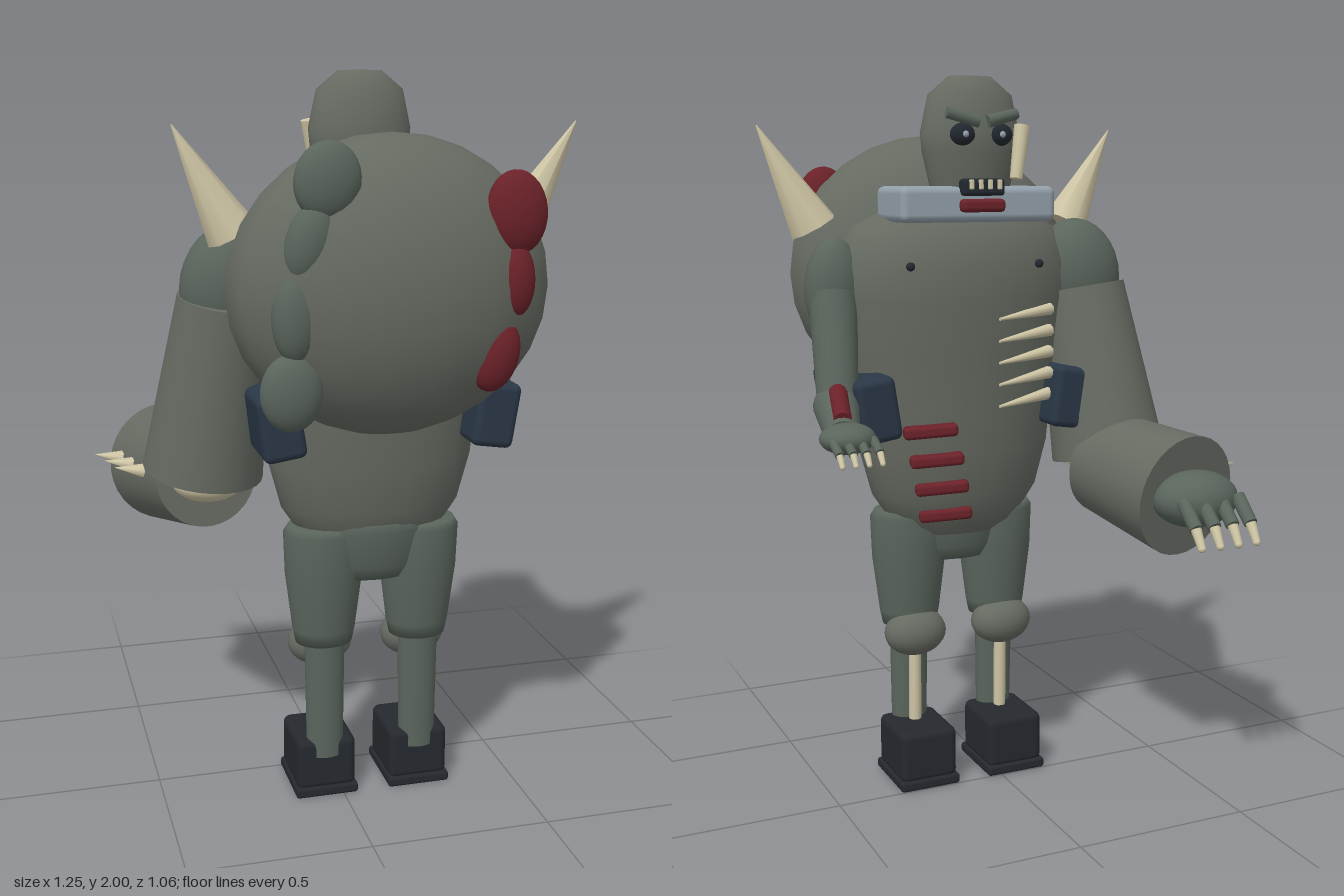
import * as THREE from 'three';
import { RoundedBoxGeometry } from 'three/addons/geometries/RoundedBoxGeometry.js';

const CX = 0.0875; // mid-line of the body
const V = (p) => new THREE.Vector3(...p);
const paint = (color) => new THREE.MeshStandardMaterial({ color });
const skin = paint(0x666b62), darkSkin = paint(0x5a655c), bone = paint(0xcfc6a5), flesh = paint(0x6b2229);
const cloth = paint(0x2a3746), boot = paint(0x25292e), steel = paint(0x93a0aa), dark = paint(0x222830);

export function createModel() {
  const root = new THREE.Group();

  function add(name, geometry, material, pos = [0, 0, 0], rot = [0, 0, 0], scale = [1, 1, 1]) {
    const mesh = new THREE.Mesh(geometry, material);
    mesh.name = name;
    mesh.position.set(...pos);
    mesh.rotation.set(...rot);
    mesh.scale.set(...scale);
    root.add(mesh);
    return mesh;
  }
  const ball = (name, material, pos, radii, rot) =>
    add(name, new THREE.SphereGeometry(1, 20, 14), material, pos, rot, radii);
  const box = (name, material, pos, size, r = 0.015, rot) =>
    add(name, new RoundedBoxGeometry(...size, 2, r), material, pos, rot);
  // Tapered cylinder from a to b
  function limb(name, material, a, b, ra, rb, sides = 20) {
    const from = V(a), dir = V(b).sub(from);
    const mesh = add(name, new THREE.CylinderGeometry(rb, ra, dir.length(), sides), material);
    mesh.position.copy(from).addScaledVector(dir, 0.5);
    mesh.quaternion.setFromUnitVectors(new THREE.Vector3(0, 1, 0), dir.normalize());
    return mesh;
  }
  // Smooth turned shape, flattened in z; profile pairs are [radius, y]
  const turned = (name, material, profile, x, z, flat) =>
    add(name, new THREE.LatheGeometry(profile.map(([r, y]) => new THREE.Vector2(r, y)), 24),
      material, [x, 0, z], [0, 0, 0], [1, 1, flat]);

  // Torso, hump and pelvis
  turned('torso', skin, [[0, 0.68], [0.1, 0.7], [0.19, 0.76], [0.25, 0.85], [0.285, 0.98], [0.297, 1.1],
    [0.32, 1.25], [0.345, 1.4], [0.345, 1.5], [0.3, 1.6], [0.2, 1.65], [0, 1.66]], CX, 0.14, 0.55);
  add('hump', new THREE.SphereGeometry(1, 18, 14), skin, [0.0875, 1.468, 0.305], [0, 0, 0], [0.425, 0.384, 0.225]);
  turned('pelvis', darkSkin, [[0, 0.645], [0.12, 0.65], [0.15, 0.69], [0.177, 0.79], [0.165, 0.83], [0, 0.85]],
    CX, 0.16, 0.62);

  // Growths on the hump: x, y, rx, ry, tilt
  [[0.37, 1.66, 0.08, 0.105, 0.1], [0.372, 1.495, 0.05, 0.095, 0.05], [0.325, 1.305, 0.062, 0.095, -0.25]]
    .forEach(([x, y, rx, ry, t]) => ball('openWound', flesh, [x, y, 0.445], [rx, ry, 0.044], [0, 0, t]));
  [[-0.11, 1.745, 0.084, 0.096, -0.15], [-0.155, 1.6, 0.06, 0.1, -0.3], [-0.19, 1.42, 0.06, 0.11, 0],
    [-0.2, 1.235, 0.08, 0.098, 0]]
    .forEach(([x, y, rx, ry, t]) => ball('backGrowth', darkSkin, [x, y, 0.44], [rx, ry, 0.045], [0, 0, t]));

  // Shoulder horns, hip pouches, chest studs and legs on both sides
  for (const s of [-1, 1]) {
    const at = (dx, y, z) => [CX + s * dx, y, z];
    limb('shoulderHorn', bone, at(0.385, 1.6, 0.205), at(0.533, 1.87, 0.215), 0.068, 0.002, 8);
    box('hipPouch', cloth, at(0.29, 1.12, 0.15), [0.115, 0.175, 0.4], 0.02, [0, 0, -s * 0.15]);
    ball('chestStud', dark, at(0.19, 1.5, -0.025), [0.012, 0.012, 0.012]);

    const leg = s * 0.136;
    turned('thigh', darkSkin, [[0, 0.46], [0.08, 0.46], [0.088, 0.5], [0.108, 0.66], [0.112, 0.78], [0.1, 0.8], [0, 0.8]],
      CX + leg, 0.16, 0.85);
    ball('knee', skin, [CX + leg, 0.44, 0.115], [0.092, 0.07, 0.066]);
    limb('shin', darkSkin, [CX + leg, 0.12, 0.175], [CX + leg, 0.46, 0.17], 0.052, 0.057).scale.z = 0.75;
    limb('shinBone', bone, [CX + leg, 0.15, 0.125], [CX + leg, 0.41, 0.12], 0.018, 0.018, 10);
    box('boot', boot, [CX + leg, 0.095, 0.105], [0.17, 0.15, 0.2], 0.02);
    box('sole', boot, [CX + leg, 0.0145, 0.105], [0.18, 0.029, 0.215], 0.008);
  }

  // Belly gashes and exposed ribs
  for (let i = 0; i < 4; i++)
    box('bellyGash', flesh, [0.22 - i * 0.02, 1.05 - i * 0.083, -0.012 + i * i * 0.005], [0.15, 0.035, 0.05], 0.012, [0, -0.25, -0.06]);
  for (let i = 0; i < 5; i++) {
    const y = 1.37 - i * 0.06;
    limb('rib', bone, [-0.15, y, 0.005], [0.04, y - 0.015, -0.075], 0.018, 0.004, 8);
  }

  // Neck guard and head
  box('neckGuard', steel, [CX, 1.663, 0.043], [0.45, 0.095, 0.205], 0.02);
  turned('head', skin, [[0, 1.62], [0.09, 1.63], [0.112, 1.7], [0.135, 1.8], [0.14, 1.85], [0.118, 1.95], [0.06, 1.998], [0, 2]],
    CX, 0.015, 0.66);
  for (const s of [-1, 1]) {
    const x = CX + s * 0.053;
    ball('eyeSocket', dark, [x, 1.845, -0.062], [0.036, 0.03, 0.022]);
    ball('eye', steel, [x, 1.845, -0.081], [0.009, 0.009, 0.007]);
    limb('brow', darkSkin, [CX + s * 0.012, 1.878, -0.075], [CX + s * 0.1, 1.9, -0.065], 0.017, 0.015, 12);
  }
  limb('cheekBone', bone, [-0.035, 1.87, -0.055], [-0.01, 1.73, -0.07], 0.022, 0.017, 10);
  box('mouth', dark, [CX, 1.708, -0.062], [0.12, 0.045, 0.05], 0.01);
  box('lowerLip', flesh, [CX, 1.66, -0.065], [0.125, 0.035, 0.045], 0.012);
  for (let i = 0; i < 4; i++)
    box('tooth', bone, [CX + (i - 1.5) * 0.027, 1.715, -0.09], [0.011, 0.026, 0.014], 0.003);

  // Row of four clawed fingers spread along x; joints are [y, z]
  function fingers(x, gap, knuckle, tip, end, r) {
    for (let i = 0; i < 4; i++) {
      const fx = x + (i - 1.5) * gap;
      limb('finger', darkSkin, [fx, ...knuckle], [fx, ...tip], r, r * 0.95, 12);
      limb('claw', bone, [fx, ...tip], [fx, ...end], r * 0.75, r * 0.55, 10);
      ball('clawTip', bone, [fx, ...end], [r * 0.55, r * 0.55, r * 0.55]);
    }
  }

  // Huge right arm
  ball('bigShoulder', darkSkin, [-0.29, 1.46, 0.11], [0.13, 0.16, 0.1], [0, 0, -0.2]);
  limb('bigUpperArm', skin, [-0.355, 0.94, 0.025], [-0.3, 1.42, 0.1], 0.165, 0.125, 28);
  ball('bigElbow', bone, [-0.35, 0.92, 0.07], [0.1, 0.055, 0.1]);
  limb('bigForearm', skin, [-0.34, 0.915, -0.01], [-0.41, 0.872, -0.322], 0.15, 0.172, 32);
  ball('bigHand', darkSkin, [-0.41, 0.875, -0.368], [0.125, 0.078, 0.095]);
  fingers(-0.42, 0.057, [0.885, -0.43], [0.825, -0.495], [0.78, -0.525], 0.02);
  for (let i = 0; i < 3; i++) {
    const x = -0.625 + i * 0.02, z = -0.23 + i * 0.076;
    limb('armSpike', bone, [x + 0.1, 0.915, z + 0.01], [x, 0.93, z], 0.026, 0.001, 8);
  }

  // Slim left arm
  ball('shoulder', darkSkin, [0.445, 1.44, 0.125], [0.08, 0.135, 0.066], [0, 0, 0.05]);
  limb('upperArm', darkSkin, [0.475, 1.14, 0.015], [0.45, 1.42, 0.115], 0.055, 0.066);
  ball('elbow', bone, [0.485, 1.115, 0.025], [0.05, 0.03, 0.04]);
  limb('forearm', darkSkin, [0.478, 1.135, 0.02], [0.525, 1.085, -0.18], 0.062, 0.045);
  limb('forearmGash', flesh, [0.478, 1.182, 0.01], [0.522, 1.125, -0.17], 0.026, 0.024, 12);
  ball('hand', darkSkin, [0.52, 1.085, -0.2], [0.073, 0.04, 0.068]);
  fingers(0.518, 0.035, [1.085, -0.24], [1.06, -0.29], [1.035, -0.31], 0.012);

  return root;
}
